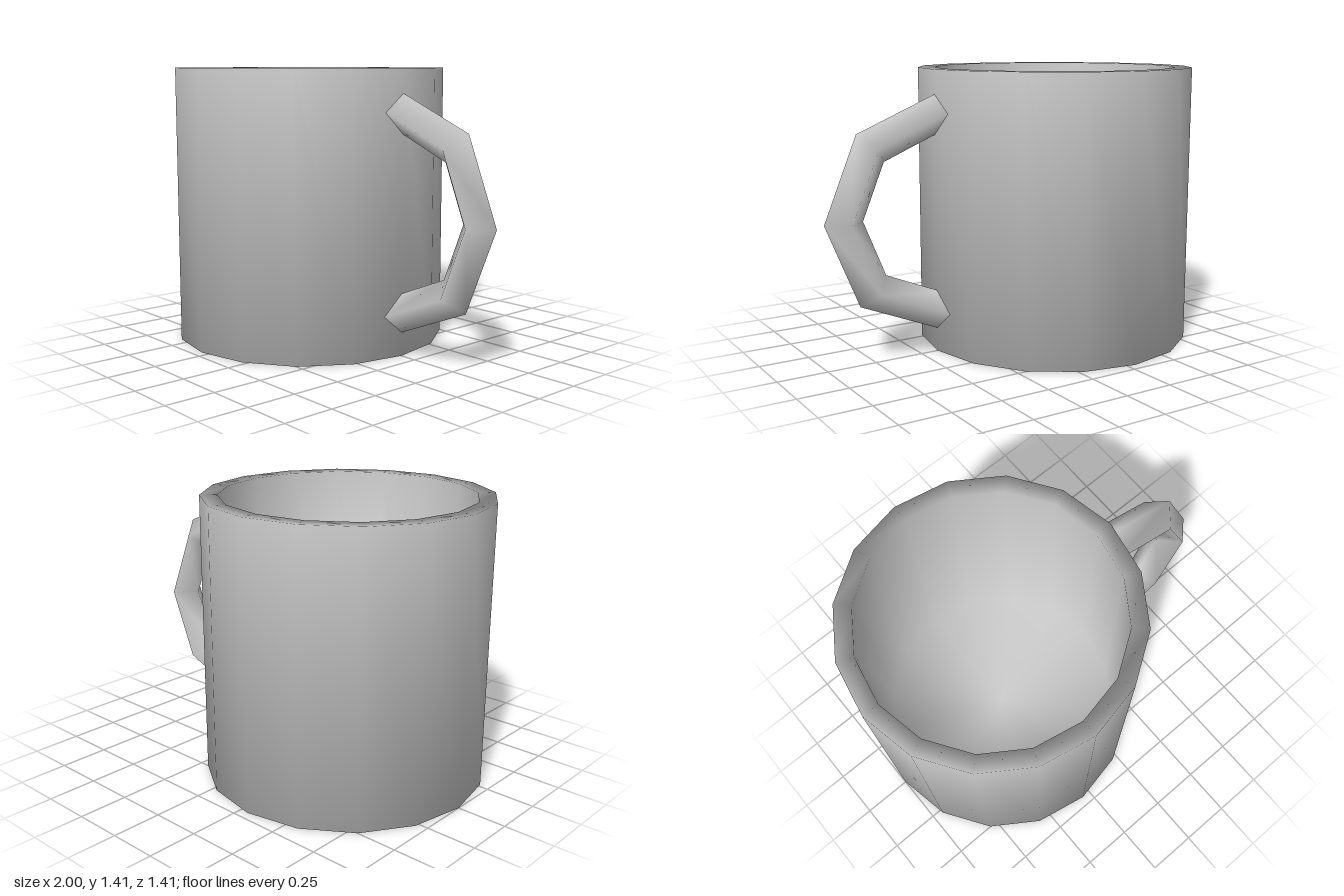
import * as THREE from 'three';

const SIDES = 16;
const HEIGHT = 1.41;
const OUTER = 0.705;
const INNER = 0.62;
const FLOOR = 0.085;
const CUP_X = -0.295;

// Hollow cup: closed profile from the underside, over the rim, to the inner floor
function makeCup(material) {
  const profile = [
    [0, 0], [OUTER, 0], [OUTER, HEIGHT],
    [INNER, HEIGHT], [INNER, FLOOR], [0, FLOOR],
  ].map(([x, y]) => new THREE.Vector2(x, y));
  const cup = new THREE.Mesh(new THREE.LatheGeometry(profile, SIDES), material);
  cup.name = 'cup';
  cup.position.x = CUP_X;
  return cup;
}

// Half-ring handle with a diamond section, its ends pushed into the cup wall
function makeHandle(material) {
  const geometry = new THREE.TorusGeometry(0.488, 0.098, 4, 4, Math.PI);
  geometry.rotateZ(-Math.PI / 2);
  const p = geometry.attributes.position;
  for (let i = 0; i < p.count; i++) {
    if (p.getX(i) < 0.001) {
      p.setX(i, p.getX(i) - 0.03);
      p.setY(i, p.getY(i) + Math.sign(p.getY(i)) * 0.012);
    }
  }
  const handle = new THREE.Mesh(geometry, material);
  handle.name = 'handle';
  handle.position.set(CUP_X + OUTER, HEIGHT / 2, 0);
  return handle;
}

export function createModel() {
  const material = new THREE.MeshStandardMaterial({ color: 0xcccccc });
  const mug = new THREE.Group();
  mug.name = 'mug';
  mug.add(makeCup(material), makeHandle(material));
  return mug;
}
